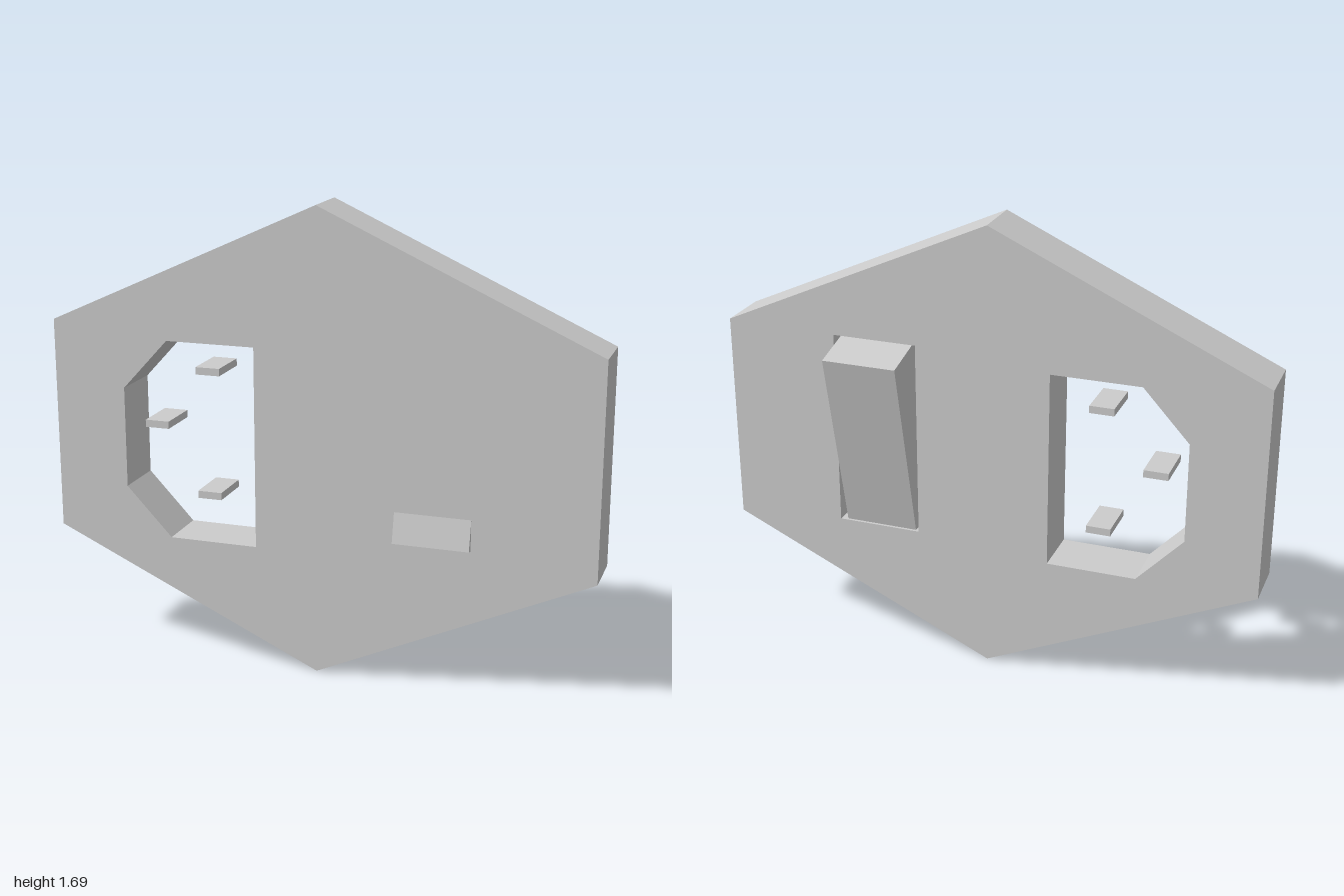
import * as THREE from 'three';

const BACK = -0.035, FRONT = 0.165;

export function createModel() {
  const model = new THREE.Group();
  const material = new THREE.MeshStandardMaterial({ color: 0xcccccc, flatShading: true });
  const add = (name, geometry, x = 0, y = 0, z = 0) => {
    const mesh = new THREE.Mesh(geometry, material);
    mesh.name = name;
    mesh.position.set(x, y, z);
    model.add(mesh);
    return mesh;
  };
  const points = (list) => list.map(([x, y]) => new THREE.Vector2(x, y));

  // Hexagonal plate with a chamfered window and a slot for the lever
  const plate = new THREE.Shape(points([
    [0, 0], [1, 0.455], [1, 1.235], [0, 1.69], [-1, 1.235], [-1, 0.455],
  ]));
  plate.holes.push(
    new THREE.Path(points([
      [-0.73, 0.63], [-0.73, 1.0], [-0.56, 1.185], [-0.23, 1.185], [-0.23, 0.45], [-0.56, 0.45],
    ])),
    new THREE.Path(points([[0.27, 0.49], [0.27, 1.225], [0.585, 1.225], [0.585, 0.49]])),
  );
  add('plate', new THREE.ExtrudeGeometry(plate, { depth: FRONT - BACK, bevelEnabled: false }), 0, 0, BACK);

  // Front wall closing the slot, so it is a pocket open only at the back
  const wall = 0.08;
  add('pocketWall', new THREE.BoxGeometry(0.315, 0.735, wall), 0.4275, 0.8575, FRONT - wall / 2);

  // Tilted rocker lever, leaning out at the back and poking through the front
  const lever = add('rockerLever', new THREE.BoxGeometry(0.275, 0.722, 0.218), 0.4225, 0.8575, 0.0025);
  lever.rotation.x = -0.227;

  // Three flat contact blades inside the window
  for (const [x, y] of [[-0.418, 1.077], [-0.618, 0.866], [-0.418, 0.616]]) {
    add('contactBlade', new THREE.BoxGeometry(0.09, 0.027, 0.17), x, y, 0.05);
  }
  return model;
}
